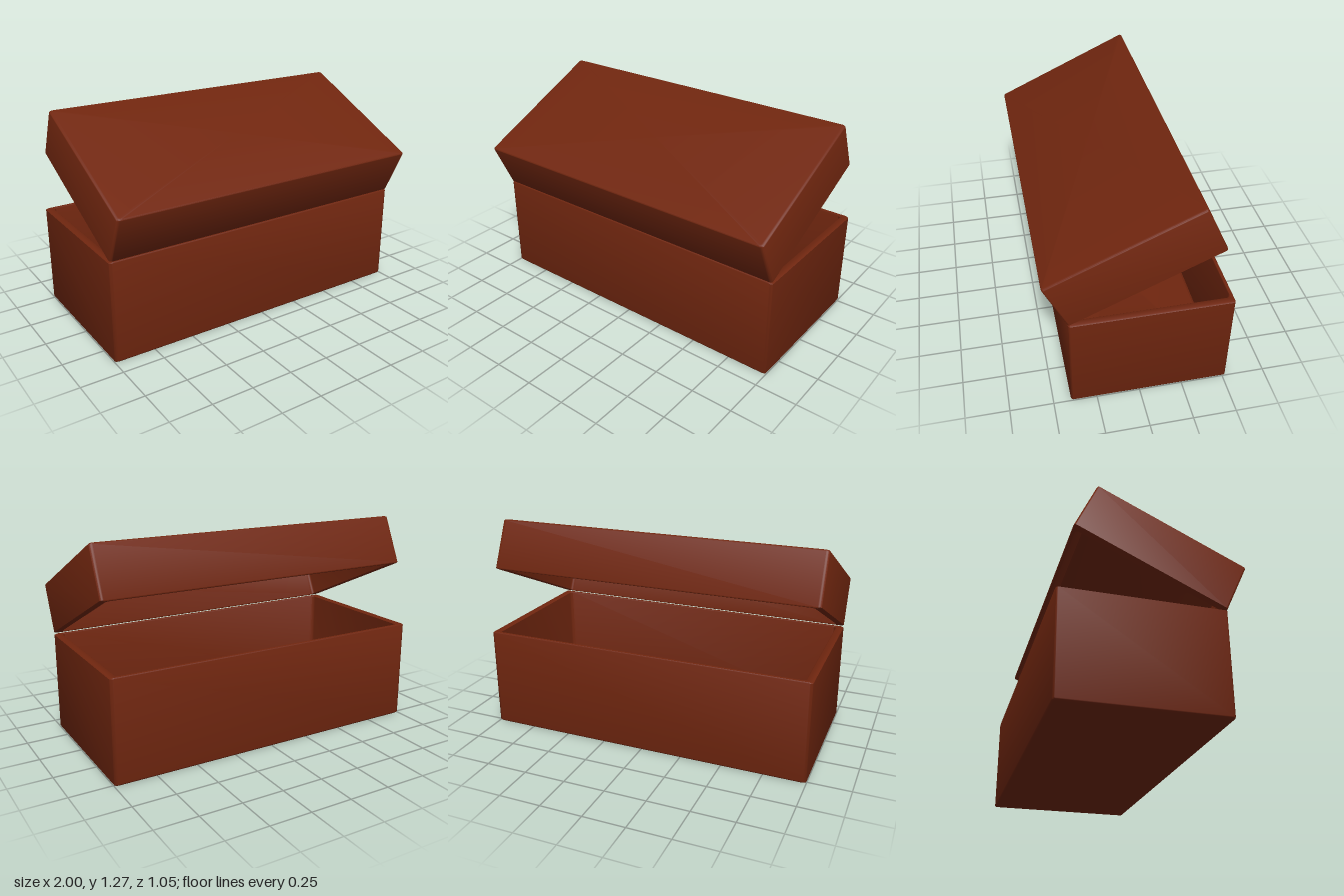
import * as THREE from 'three';
import { toCreasedNormals } from 'three/addons/utils/BufferGeometryUtils.js';

const WIDTH = 2, DEPTH = 0.92, STEPS = 4;

// Rounded rectangle at height y: half sizes hx, hz and corner radii rx, rz
function ring(hx, hz, y, rx, rz) {
  const points = [];
  const corners = [[1, 1], [-1, 1], [-1, -1], [1, -1]];
  corners.forEach(([sx, sz], c) => {
    for (let k = 0; k <= STEPS; k++) {
      const a = (c + k / STEPS) * Math.PI / 2;
      points.push([sx * (hx - rx) + rx * Math.cos(a), y, sz * (hz - rz) + rz * Math.sin(a)]);
    }
  });
  return points;
}

// Open hollow tray standing on y = 0, made of rings from the underside round to the inner floor
function trayGeometry(height) {
  const hx = WIDTH / 2, hz = DEPTH / 2, wallX = 0.045, wallZ = 0.022, floor = 0.03;
  const bx = 0.016, by = 0.01, bz = 0.008;
  const rings = [ring(0, 0, 0, 0, 0)];
  // rounded bottom edge
  for (let k = 0; k <= 3; k++) {
    const a = k / 3 * Math.PI / 2, s = 1 - Math.sin(a);
    rings.push(ring(hx - bx * s, hz - bz * s, by * (1 - Math.cos(a)), 0.02, 0.012));
  }
  // rim with softened edges
  rings.push(ring(hx, hz, height - 0.005, 0.02, 0.012));
  rings.push(ring(hx - 0.008, hz - 0.004, height, 0.02, 0.012));
  rings.push(ring(hx - wallX + 0.006, hz - wallZ - 0.001 + 0.004, height, 0.025, 0.018));
  // inner walls and floor
  rings.push(ring(hx - wallX, hz - wallZ, height - 0.005, 0.025, 0.018));
  rings.push(ring(hx - wallX, hz - wallZ, floor + 0.008, 0.025, 0.018));
  rings.push(ring(hx - wallX - 0.012, hz - wallZ - 0.008, floor, 0.025, 0.018));
  rings.push(ring(0, 0, floor, 0, 0));

  const n = rings[0].length, last = rings.length - 2, positions = [];
  for (let r = 0; r <= last; r++) {
    for (let i = 0; i < n; i++) {
      const j = (i + 1) % n, a = rings[r], b = rings[r + 1];
      if (r < last) positions.push(...a[i], ...b[i], ...b[j]);
      if (r > 0) positions.push(...a[i], ...b[j], ...a[j]);
    }
  }
  const geometry = new THREE.BufferGeometry();
  geometry.setAttribute('position', new THREE.Float32BufferAttribute(positions, 3));
  return toCreasedNormals(geometry, 0.7);
}

export function createModel() {
  const model = new THREE.Group();
  model.name = 'openBox';
  const leather = new THREE.MeshStandardMaterial({ color: 0x70260f });
  leather.name = 'reddishBrown';

  // Lower box
  const base = new THREE.Mesh(trayGeometry(0.61), leather);
  base.name = 'base';
  base.position.z = -0.06;
  model.add(base);

  // Lid: an upturned tray tilted open about its front lower edge
  const lidHeight = 0.31;
  const hinge = new THREE.Group();
  hinge.name = 'lidHinge';
  hinge.position.set(0, 0.613, 0.4);
  hinge.rotation.x = THREE.MathUtils.degToRad(24.6);
  const lid = new THREE.Mesh(trayGeometry(lidHeight), leather);
  lid.name = 'lid';
  lid.rotation.z = Math.PI;
  lid.position.set(0, lidHeight, -DEPTH / 2);
  hinge.add(lid);
  model.add(hinge);

  return model;
}
